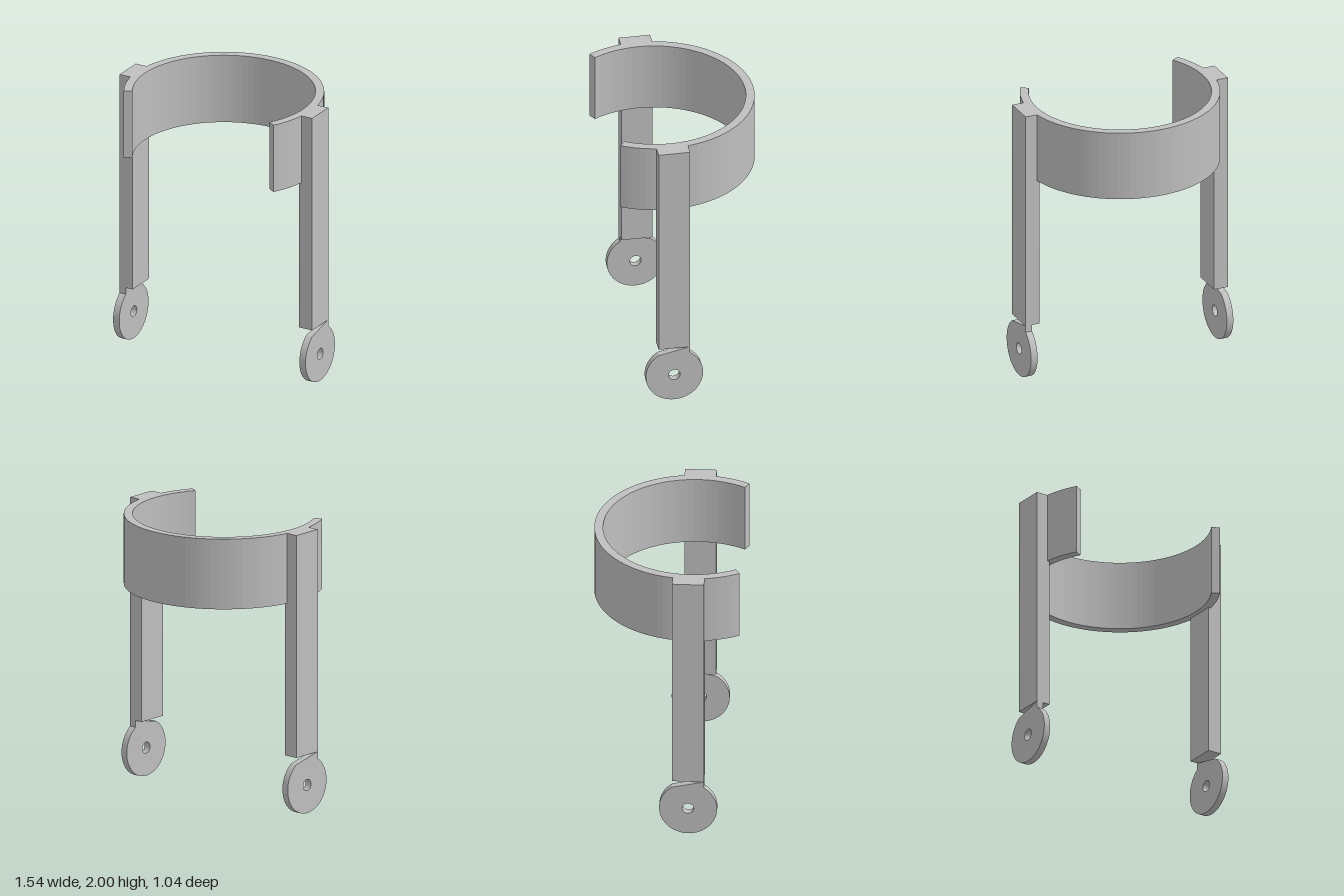
import * as THREE from 'three';

const RING_OUTER = 0.69, RING_INNER = 0.63;
const LEG_HALF = 0.11, DISC_RADIUS = 0.2, LEG_BOTTOM = 0.415;

// Open ring seen from above, gap facing the front
function ringGeometry() {
  const a = -Math.PI / 6, b = Math.PI * 7 / 6;
  const shape = new THREE.Shape();
  shape.absarc(0, 0, RING_OUTER, a, b, false);
  shape.absarc(0, 0, RING_INNER, b, a, true);
  shape.closePath();
  const geo = new THREE.ExtrudeGeometry(shape, { depth: 0.5, bevelEnabled: false, curveSegments: 32 });
  return geo.rotateX(-Math.PI / 2).translate(0, 1.5, 0);
}

// Pierced disc with a short neck that continues the leg
function eyeletGeometry() {
  const a = Math.acos(LEG_HALF / DISC_RADIUS);
  const shape = new THREE.Shape();
  shape.moveTo(-LEG_HALF, LEG_BOTTOM);
  shape.absarc(0, DISC_RADIUS, DISC_RADIUS, Math.PI - a, Math.PI * 2 + a, false);
  shape.lineTo(LEG_HALF, LEG_BOTTOM);
  shape.closePath();
  const hole = new THREE.Path();
  hole.absarc(0, DISC_RADIUS, 0.04, 0, Math.PI * 2, true);
  shape.holes.push(hole);
  const geo = new THREE.ExtrudeGeometry(shape, { depth: 0.049, bevelEnabled: false, curveSegments: 60 });
  return geo.rotateY(Math.PI / 2).translate(0.718, 0, 0);
}

export function createModel() {
  const model = new THREE.Group();
  model.name = 'clampBracket';
  const grey = new THREE.MeshStandardMaterial({ color: 0xbfbfbf });
  grey.name = 'light grey';

  const add = (parent, name, geo) => {
    const mesh = new THREE.Mesh(geo, grey);
    mesh.name = name;
    parent.add(mesh);
  };

  add(model, 'openRing', ringGeometry());

  // Two identical legs, half a turn apart
  const legGeo = new THREE.BoxGeometry(0.104, 2 - LEG_BOTTOM, LEG_HALF * 2);
  legGeo.translate(0.715, (2 + LEG_BOTTOM) / 2, 0);
  const eyeletGeo = eyeletGeometry();
  for (const side of ['left', 'right']) {
    const leg = new THREE.Group();
    leg.name = side + 'Leg';
    add(leg, side + 'LegBar', legGeo);
    add(leg, side + 'Eyelet', eyeletGeo);
    if (side === 'right') leg.rotation.y = Math.PI;
    model.add(leg);
  }

  // The whole bracket sits very slightly turned
  model.position.z = 0.17;
  model.rotation.y = -0.006;
  return model;
}
